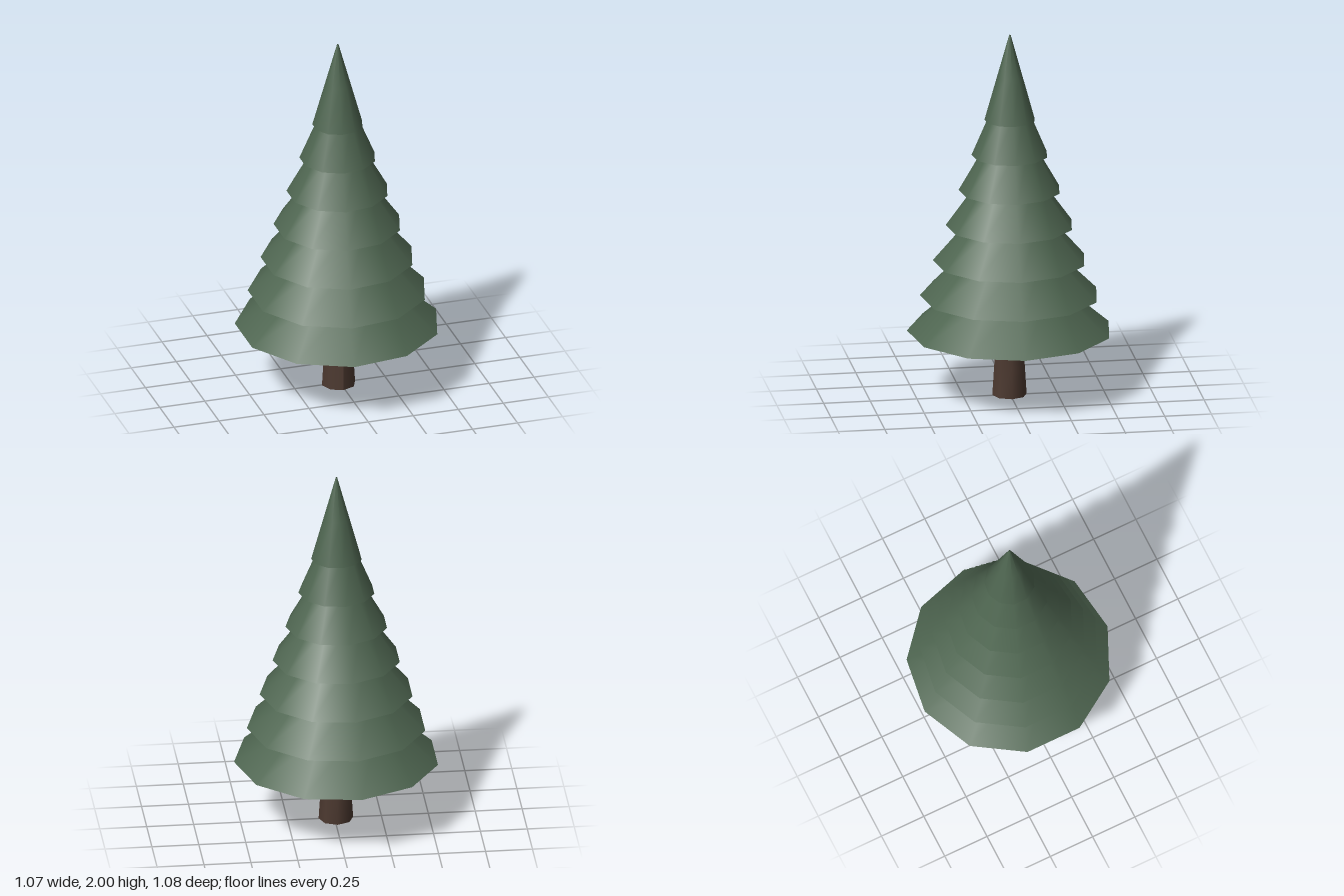
import * as THREE from 'three';

export function createModel() {
  const tree = new THREE.Group();
  tree.name = 'pineTree';
  const needleGreen = new THREE.MeshStandardMaterial({ color: 0x4e6550, side: THREE.DoubleSide });
  needleGreen.name = 'needleGreen';
  const barkBrown = new THREE.MeshStandardMaterial({ color: 0x4b382f });
  barkBrown.name = 'barkBrown';
  const axisX = -0.011;

  // Foliage: seven open eleven-sided cones of equal height, shrinking upwards
  const tiers = 7, height = 0.47;
  for (let i = 0; i < tiers; i++) {
    const radius = 0.546 - i * 0.0685;
    const cone = new THREE.Mesh(
      new THREE.CylinderGeometry(0.004, radius, height, 11, 2, true, Math.PI / 2),
      needleGreen
    );
    cone.name = `foliageTier${i + 1}`;
    cone.position.set(axisX, 0.36 + i * 0.195 + height / 2, 0);
    tree.add(cone);
  }

  // Trunk: tapered, with its upper half leaning a little
  const trunkHeight = 0.64;
  const trunkGeometry = new THREE.CylinderGeometry(0.052, 0.092, trunkHeight, 8, 4);
  trunkGeometry.translate(0, trunkHeight / 2, 0);
  const p = trunkGeometry.attributes.position;
  for (let i = 0; i < p.count; i++) {
    const lean = Math.max(0, p.getY(i) - 0.3) * 0.06;
    p.setX(i, p.getX(i) + lean);
    p.setZ(i, p.getZ(i) - lean);
  }
  trunkGeometry.computeVertexNormals();
  const trunk = new THREE.Mesh(trunkGeometry, barkBrown);
  trunk.name = 'trunk';
  trunk.position.set(-0.008, 0.005, 0.003);
  tree.add(trunk);

  return tree;
}
